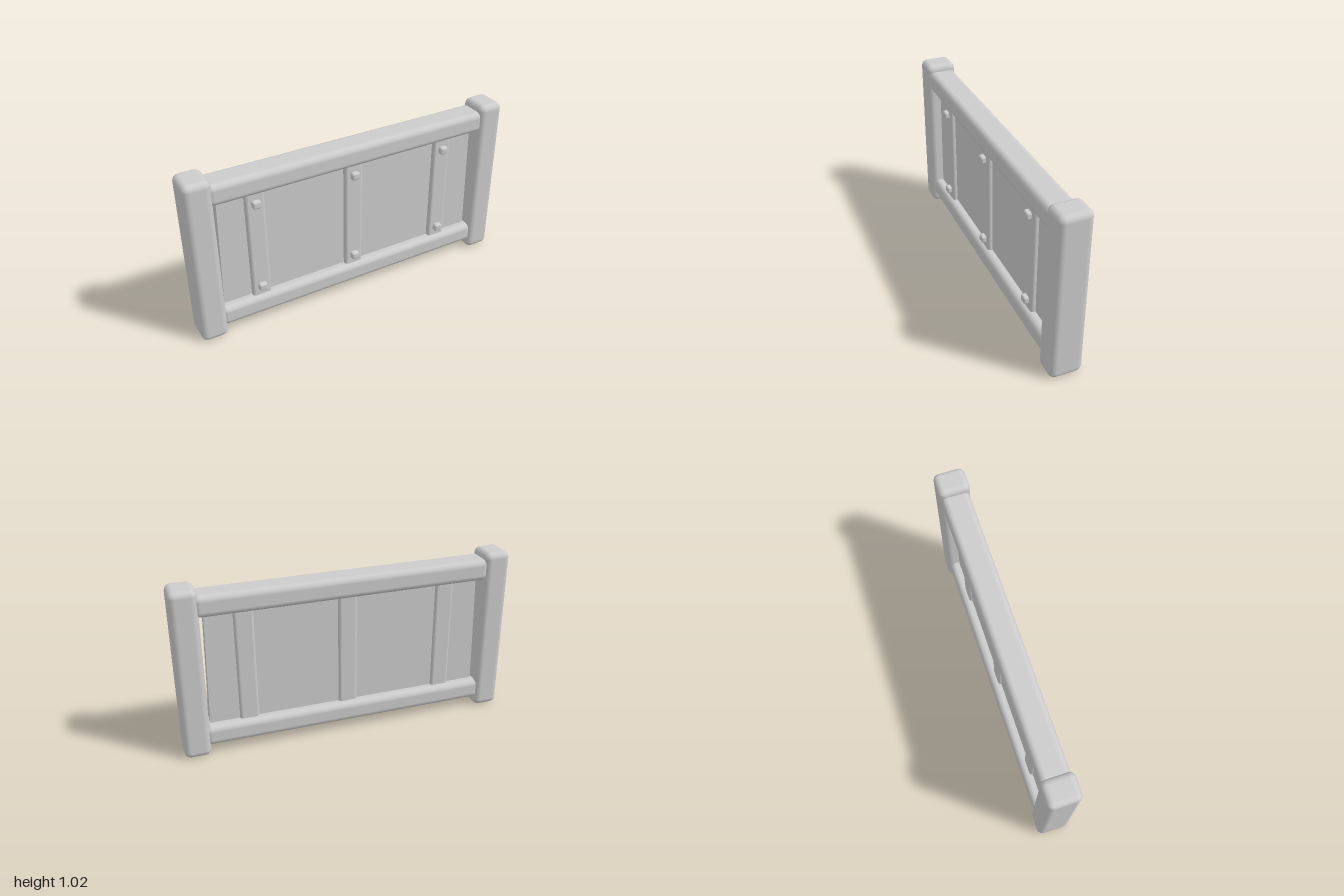
import * as THREE from 'three';
import { RoundedBoxGeometry } from 'three/addons/geometries/RoundedBoxGeometry.js';

const grey = new THREE.MeshStandardMaterial({ color: 0xcccccc });
grey.name = 'light grey';

// Soft-edged block given by its lower and upper corners
function block(name, min, max, radius) {
  const size = max.map((v, i) => v - min[i]);
  const mesh = new THREE.Mesh(new RoundedBoxGeometry(...size, 3, radius), grey);
  mesh.name = name;
  mesh.position.set(...max.map((v, i) => (v + min[i]) / 2));
  return mesh;
}

export function createModel() {
  const group = new THREE.Group();
  group.name = 'fencePanel';

  // End posts, slightly deeper at the foot
  for (const side of [-1, 1]) {
    const post = block(side < 0 ? 'rightPost' : 'leftPost',
      [side * 0.9225 - 0.0775, 0, -0.095], [side * 0.9225 + 0.0775, 1.025, 0.095], 0.037);
    const p = post.geometry.attributes.position;
    for (let i = 0; i < p.count; i++) p.setZ(i, p.getZ(i) * (1 - 0.04 * p.getY(i)));
    group.add(post);
  }

  // Horizontal rails
  group.add(block('topRail', [-0.87, 0.857, -0.083], [0.87, 0.985, 0.081], 0.036));
  group.add(block('bottomRail', [-0.87, 0.056, -0.083], [0.87, 0.18, 0.081], 0.036));

  // Thin infill board, a little wider at the bottom
  const board = new THREE.Mesh(new THREE.BoxGeometry(1.65, 0.76, 0.05), grey);
  board.name = 'infillBoard';
  board.position.y = 0.52;
  const bp = board.geometry.attributes.position;
  for (let i = 0; i < bp.count; i++) bp.setX(i, bp.getX(i) * (1 - 0.03 * bp.getY(i)));
  group.add(board);

  // Upright slats with a square bolt near each end of the front
  for (const x of [-0.607, -0.002, 0.602]) {
    group.add(block('slat', [x - 0.057, 0.12, -0.042], [x + 0.057, 0.92, 0.052], 0.018));
    for (const y of [0.24, 0.795]) {
      group.add(block('bolt', [x - 0.025, y - 0.023, 0.035], [x + 0.025, y + 0.023, 0.08], 0.012));
    }
  }
  return group;
}
